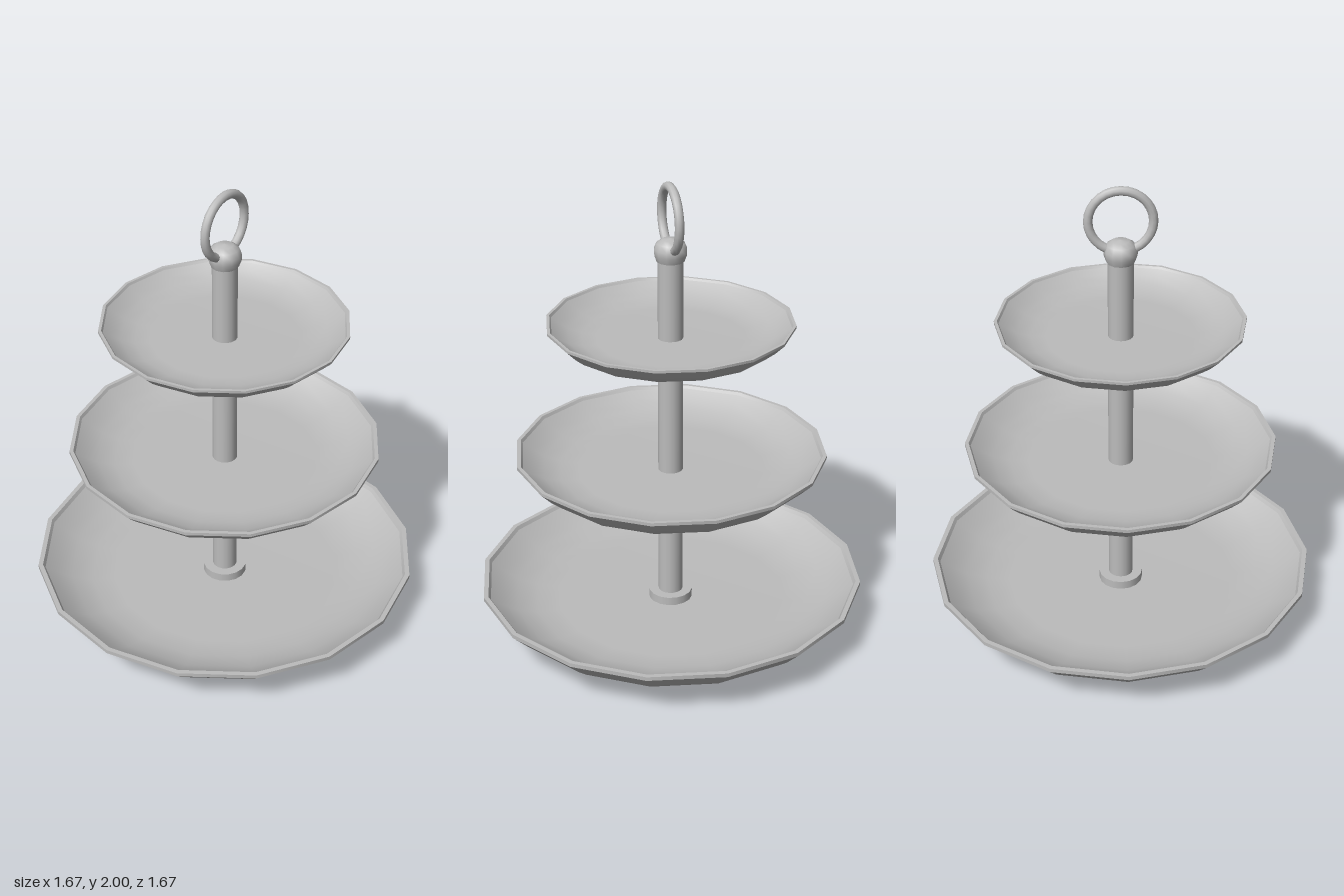
import * as THREE from 'three';
import { mergeGeometries } from 'three/addons/utils/BufferGeometryUtils.js';

// Smooth profile runs of one plate; each run ends at a sharp edge
const plateRuns = [
  [[0, 0], [0.47, 0]],                                                        // underside
  [[0.47, 0], [0.495, 0.04], [0.54, 0.043], [0.63, 0.056], [0.71, 0.09], [0.77, 0.138], [0.835, 0.203]], // foot and bowl
  [[0.835, 0.203], [0.835, 0.22]],                                            // rim edge
  [[0.835, 0.22], [0.815, 0.22]],                                             // rim top
  [[0.815, 0.22], [0.805, 0.205]],                                            // inner lip
  [[0.805, 0.205], [0.76, 0.172], [0.69, 0.132], [0.6, 0.106], [0.5, 0.098], [0, 0.098]], // bowl inside
];

function lathe(points, sides) {
  return new THREE.LatheGeometry(points.map(([r, y]) => new THREE.Vector2(r, y)), sides);
}

export function createModel() {
  const model = new THREE.Group();
  const metal = new THREE.MeshStandardMaterial({ color: 0xbcbcbc });
  metal.name = 'silverGrey';

  function add(name, geometry, y = 0) {
    const mesh = new THREE.Mesh(geometry, metal);
    mesh.name = name;
    mesh.position.y = y;
    model.add(mesh);
    return mesh;
  }

  // Three plates of the same shape, smaller towards the top
  const plate = mergeGeometries(plateRuns.map((run) => lathe(run, 16)));
  const tiers = [['bottomPlate', 0, 1], ['middlePlate', 0.65, 0.797], ['topPlate', 1.275, 0.622]];
  for (const [name, y, scale] of tiers) add(name, plate, y).scale.setScalar(scale);

  // Central pole with its collar on the bottom plate
  add('pole', new THREE.CylinderGeometry(0.053, 0.053, 1.63, 16), 0.875);
  add('poleCollar', new THREE.CylinderGeometry(0.095, 0.095, 0.04, 16), 0.115);

  // Knob and carrying ring
  const knob = mergeGeometries([
    lathe([[0, 1.673], [0.058, 1.673]], 12),
    lathe([[0.058, 1.673], [0.068, 1.7], [0.069, 1.725], [0.058, 1.75], [0.035, 1.765], [0, 1.77]], 12),
  ]);
  add('knob', knob);
  add('carryingRing', new THREE.TorusGeometry(0.131, 0.019, 10, 28), 1.85);

  return model;
}
